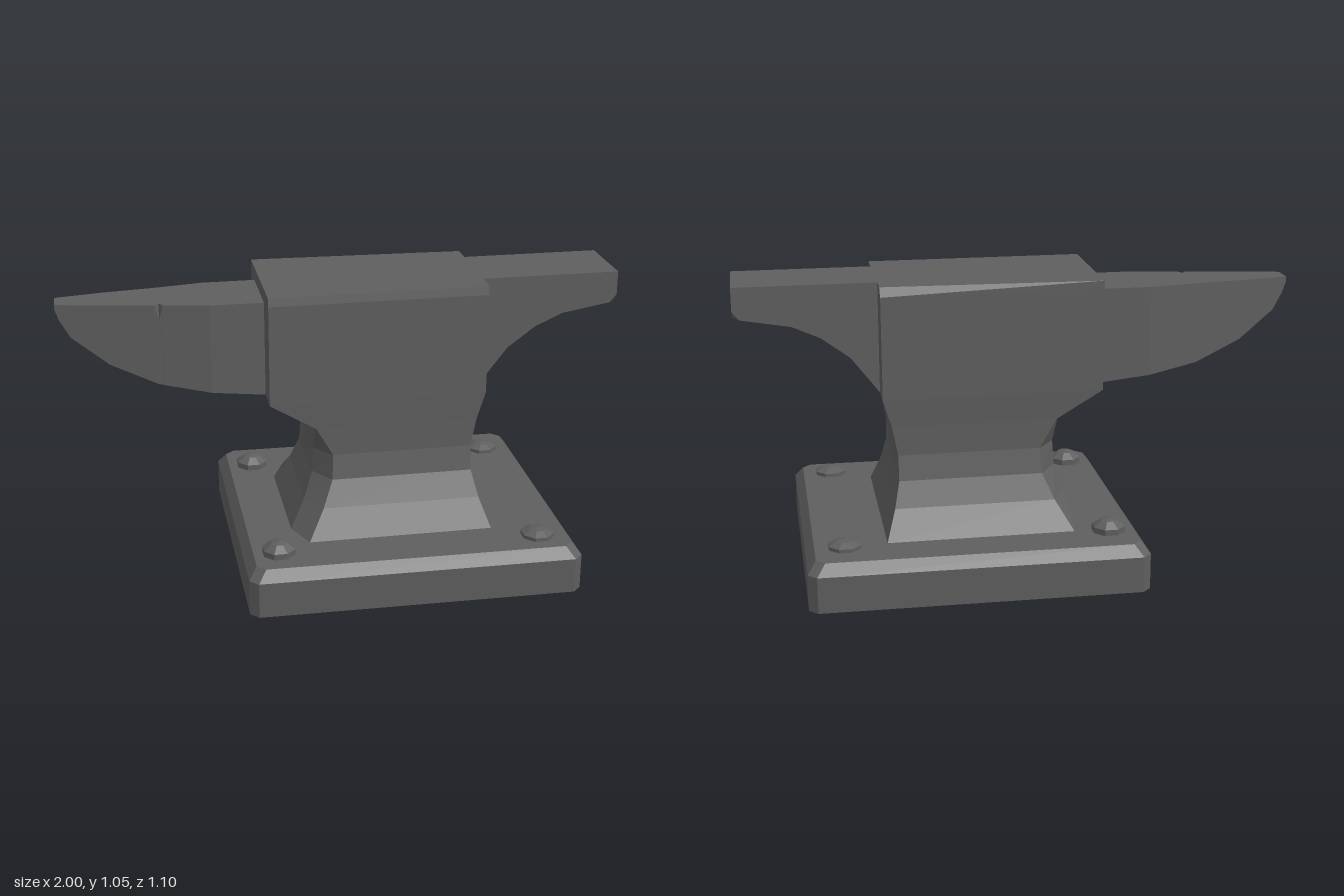
import * as THREE from 'three';

const iron = new THREE.MeshStandardMaterial({ color: 0x5e5e5e, flatShading: true, side: THREE.DoubleSide });
iron.name = 'dark iron';

// Skin a list of equal-length cross-sections, with optional flat end caps.
function loft(name, rings, capStart = true, capEnd = true) {
  const n = rings[0].length;
  const index = [];
  rings.slice(1).forEach((_, k) => {
    for (let i = 0; i < n; i++) {
      const a = k * n + i, b = k * n + (i + 1) % n;
      index.push(a, b, b + n, a, b + n, a + n);
    }
  });
  const last = (rings.length - 1) * n;
  for (let i = 1; i < n - 1; i++) {
    if (capStart) index.push(0, i + 1, i);
    if (capEnd) index.push(last, last + i, last + i + 1);
  }
  const g = new THREE.BufferGeometry();
  g.setAttribute('position', new THREE.Float32BufferAttribute(rings.flat(2), 3));
  g.setIndex(index);
  const flat = g.toNonIndexed();
  flat.computeVertexNormals();
  const mesh = new THREE.Mesh(flat, iron);
  mesh.name = name;
  return mesh;
}

// Rectangle with cut corners for the base plate, very slightly out of square.
function plateRing(y, inset) {
  const l = -0.4 + inset, r = 0.79 - inset, f = 0.54 - inset, b = -0.545 + inset, c = 0.03, s = 0.005;
  return [
    [l + c, y, f - s], [r - c, y, f + s], [r, y, f + s - c], [r, y, b + s + c],
    [r - c, y, b + s], [l + c, y, b - s], [l, y, b - s + c], [l, y, f - s - c],
  ];
}

// Body section: square on the heel side, cut corners (cx, cz) on the horn side.
function bodyRing([y, l, r, f, b, cx, cz, backTrim = 0]) {
  return [
    [l + cx, y, f], [r, y, f], [r, y, b + backTrim],
    [l + cx, y, b], [l, y, b + cz], [l, y, f - cz],
  ];
}

export function createModel() {
  const anvil = new THREE.Group();
  anvil.name = 'anvil';

  // Hollow base plate, open underneath
  anvil.add(loft('basePlate', [plateRing(0, 0), plateRing(0.13, 0), plateRing(0.17, 0.03)], false, true));

  // Flared foot, waist and block: y, left, right, front, back, corner cut
  anvil.add(loft('body', [
    [0.17, -0.21, 0.505, 0.33, -0.365, 0.05, 0.12],
    [0.27, -0.155, 0.47, 0.27, -0.3, 0.055, 0.1],
    [0.36, -0.12, 0.45, 0.225, -0.265, 0.06, 0.09],
    [0.45, -0.115, 0.45, 0.21, -0.25, 0.06, 0.08],
    [0.555, -0.12, 0.47, 0.21, -0.25, 0.005, 0.01],
    [0.655, -0.28, 0.5, 0.213, -0.255, 0, 0],
    [1.02, -0.28, 0.5, 0.213, -0.255, 0, 0],
    [1.05, -0.28, 0.5, 0.208, -0.255, 0, 0, 0.028],
  ].map(bodyRing)));

  // Horn: x, bottom, back, front, depth of the nick in the top front edge
  anvil.add(loft('horn', [
    [-1, 0.98, -0.08, 0, 0],
    [-0.985, 0.94, -0.083, 0.003, 0],
    [-0.95, 0.88, -0.09, 0.01, 0],
    [-0.82, 0.78, -0.113, 0.035, 0],
    [-0.657, 0.708, -0.133, 0.062, 0],
    [-0.643, 0.705, -0.135, 0.064, 0.055],
    [-0.63, 0.702, -0.137, 0.067, 0],
    [-0.47, 0.675, -0.165, 0.1, 0],
    [-0.28, 0.655, -0.165, 0.1, 0],
  ].map(([x, low, b, f, nick]) => [
    [x, low, f], [x, low, b], [x, 1, b], [x, 1, f - nick * 0.4], [x, 1 - nick, f],
  ])));

  // Heel: x, bottom, cut on the lower corners at the tip
  anvil.add(loft('heel', [
    [0.49, 0.655, 0],
    [0.5, 0.655, 0],
    [0.6, 0.785, 0],
    [0.7, 0.86, 0],
    [0.8, 0.905, 0],
    [0.975, 0.935, 0],
    [1, 0.94, 0.025],
  ].map(([x, low, c]) => [
    [x, low + c, 0.12], [x, low, 0.12 - c], [x, low, -0.15 + c],
    [x, low + c, -0.15], [x, 1.05, -0.15], [x, 1.05, 0.12],
  ])));

  // Domed eight-sided bolts: x, z, height
  [[-0.28, -0.375, 0.052], [-0.28, 0.388, 0.052], [0.655, -0.375, 0.033], [0.655, 0.41, 0.033]].forEach(([x, z, h]) => {
    const profile = [[0.06, 0], [0.06, h * 0.45], [0.03, h * 0.85], [0, h]].map((p) => new THREE.Vector2(...p));
    const bolt = new THREE.Mesh(new THREE.LatheGeometry(profile, 8), iron);
    bolt.name = 'bolt';
    bolt.position.set(x, 0.168, z);
    bolt.rotation.y = Math.PI / 8;
    anvil.add(bolt);
  });

  return anvil;
}
